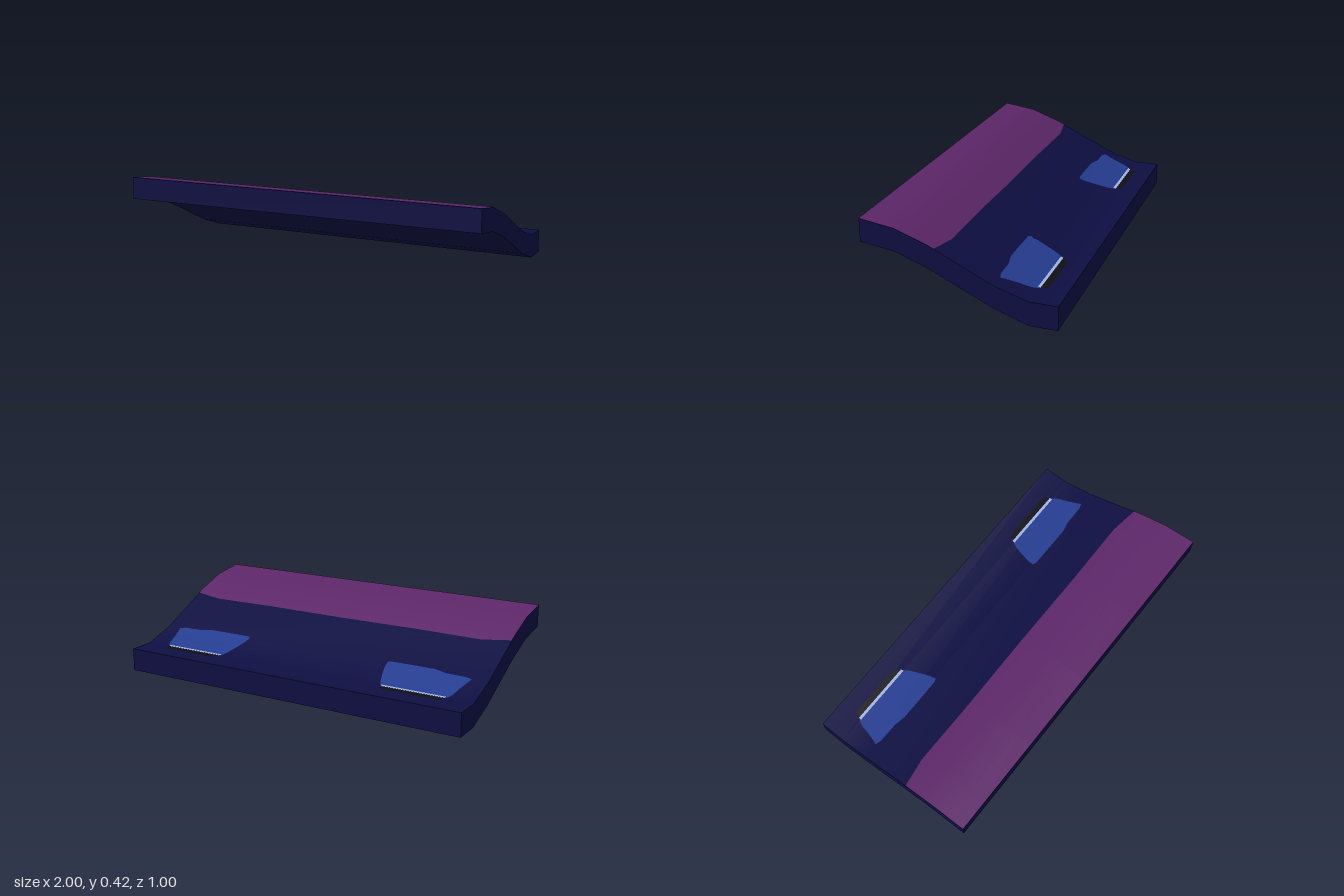
import * as THREE from 'three';
import { toCreasedNormals } from 'three/addons/utils/BufferGeometryUtils.js';

const mat = (name, color) => new THREE.MeshStandardMaterial({ name, color });

// Side profile of the panel as [z, y]
const TOP = [[0.5, 0.42], [0.32, 0.395], [0.15, 0.335], [-0.18, 0.18], [-0.355, 0.125], [-0.5, 0.125]];
const BOTTOM = [[-0.5, 0], [-0.355, 0], [-0.18, 0.06], [0.15, 0.215], [0.32, 0.275], [0.5, 0.3]];

// Height of the upper surface at z
function topY(z) {
  for (let i = 1; i < TOP.length; i++) {
    const [z0, y0] = TOP[i - 1], [z1, y1] = TOP[i];
    if (z >= z1) return y0 + (y1 - y0) * (z0 - z) / (z0 - z1);
  }
  return TOP[TOP.length - 1][1];
}

// Painted face draped on the upper surface; rows run back to front, each a list of [x, z]
function drape(name, rows, material, lift = 0.002) {
  const n = rows[0].length;
  const pos = rows.flat().flatMap(([x, z]) => [x, topY(z) + lift, z]);
  const index = [];
  for (let r = 0; r < rows.length - 1; r++) {
    for (let c = 0; c < n - 1; c++) {
      const a = r * n + c, b = a + n;
      index.push(a, b, a + 1, a + 1, b, b + 1);
    }
  }
  const g = new THREE.BufferGeometry();
  g.setAttribute('position', new THREE.Float32BufferAttribute(pos, 3));
  g.setIndex(index);
  g.computeVertexNormals();
  const mesh = new THREE.Mesh(g, material);
  mesh.name = name;
  return mesh;
}

// Straight row of seven points from x0 to x1
const row = (x0, x1, z) => Array.from({ length: 7 }, (_, i) => [x0 + (x1 - x0) * i / 6, z]);

export function createModel() {
  const navy = mat('navy', 0x0e0e42);
  const purple = mat('purple', 0x5c2668);
  const blue = mat('blue', 0x253c90);
  const pale = mat('paleBlue', 0xa4b4e0);
  const black = mat('black', 0x0f0f14);

  const model = new THREE.Group();
  model.name = 'slopedPanel';

  // Curved slab
  const shape = new THREE.Shape([...TOP, ...BOTTOM].map(([z, y]) => new THREE.Vector2(z, y)));
  const geo = new THREE.ExtrudeGeometry(shape, { depth: 2, bevelEnabled: false });
  geo.rotateY(-Math.PI / 2).translate(1, 0, 0);
  const slab = new THREE.Mesh(toCreasedNormals(geo, 0.5), navy);
  slab.name = 'slab';
  model.add(slab);

  // Purple upper band with a slightly wavy lower edge
  const edge = [[-1, 0.115], [-0.93, 0.103], [-0.84, 0.089], [-0.45, 0.093], [0, 0.09],
    [0.45, 0.093], [0.84, 0.089], [0.93, 0.103], [1, 0.115]];
  const bandRows = [edge, ...[0.15, 0.235, 0.32, 0.41, 0.5].map((z) => edge.map(([x]) => [x, z]))];
  model.add(drape('upperBand', bandRows, purple));

  // Window patches, mirrored left and right
  const windowRows = [
    row(0.5, 0.852, -0.362), row(0.49, 0.866, -0.345), row(0.476, 0.877, -0.32),
    row(0.455, 0.89, -0.26), row(0.439, 0.906, -0.205),
    [[0.433, -0.168], [0.447, -0.158], [0.6, -0.157], [0.705, -0.158], [0.77, -0.172], [0.88, -0.174], [0.914, -0.185]],
  ];
  const shadeRows = [row(0.535, 0.835, -0.4), row(0.51, 0.845, -0.385), row(0.505, 0.85, -0.362)];
  const stripRows = [row(0.5, 0.852, -0.366), row(0.496, 0.854, -0.35)];

  for (const side of [1, -1]) {
    const flip = (rows) => side > 0 ? rows : rows.map((r) => r.map(([x, z]) => [-x, z]).reverse());
    const window = new THREE.Group();
    window.name = side > 0 ? 'leftWindow' : 'rightWindow';
    window.add(
      drape('pane', flip(windowRows), blue, 0.003),
      drape('darkRim', flip(shadeRows), black, 0.002),
      drape('paleStrip', flip(stripRows), pale, 0.005),
    );
    model.add(window);
  }
  return model;
}
